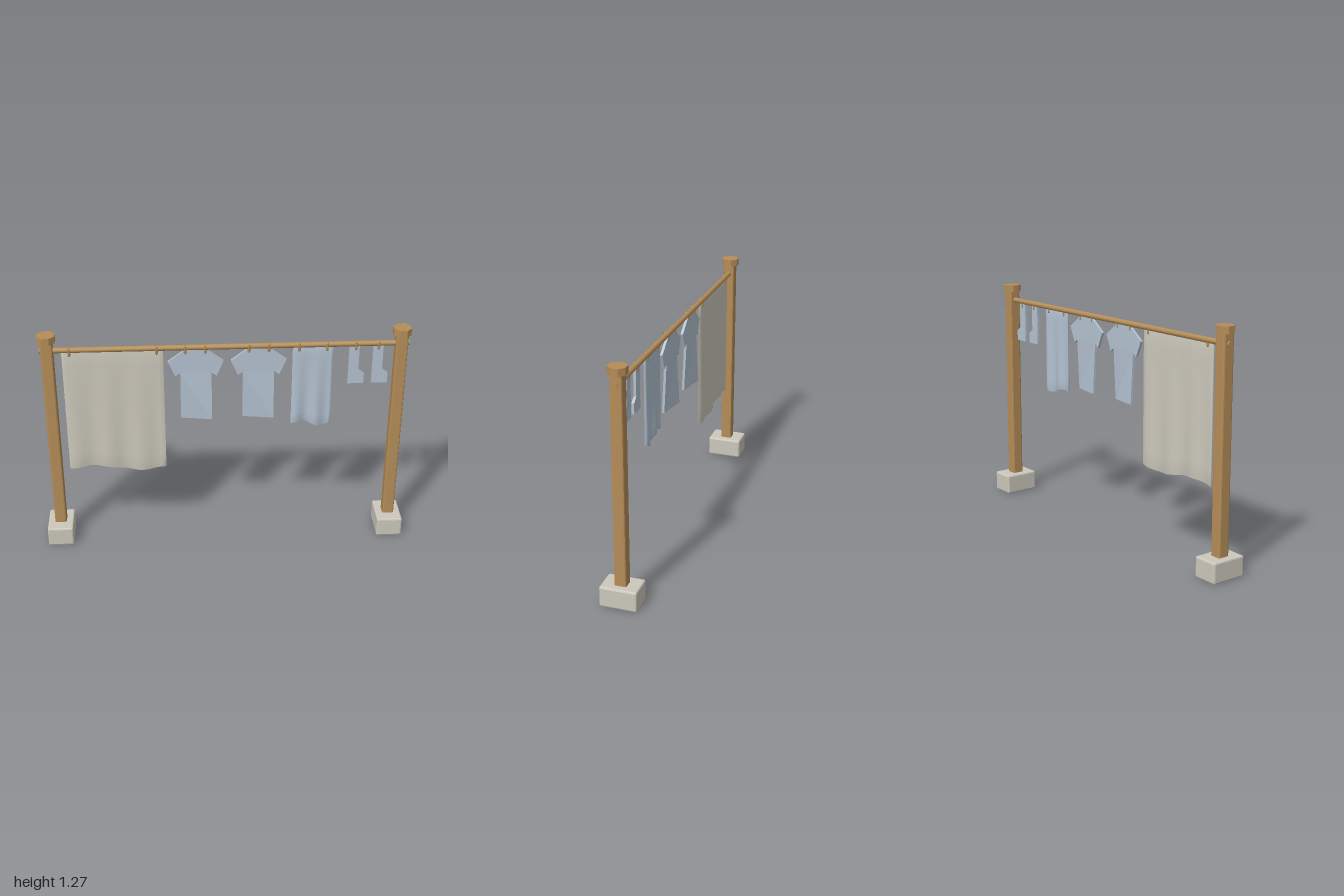
import * as THREE from 'three';
import { mergeVertices } from 'three/addons/utils/BufferGeometryUtils.js';
import { RoundedBoxGeometry } from 'three/addons/geometries/RoundedBoxGeometry.js';

const LINE_Y = 1.18;

// Flat-faced copy of a geometry
function faceted(geometry) {
  const g = geometry.index ? geometry.toNonIndexed() : geometry;
  g.computeVertexNormals();
  return g;
}

// Box with flat chamfered edges
const chamferBox = (w, h, d, c) => faceted(new RoundedBoxGeometry(w, h, d, 1, c));

// Thin rippled cloth with soft closed edges and a wavy hem
function sheetGeometry(width, height, folds) {
  const box = new THREE.BoxGeometry(width, height, 0.01, 20, 8, 1);
  box.deleteAttribute('normal');
  box.deleteAttribute('uv');
  const g = mergeVertices(box);
  const p = g.attributes.position;
  for (let i = 0; i < p.count; i++) {
    const u = p.getX(i) / width + 0.5;
    const drop = 0.5 - p.getY(i) / height;
    p.setZ(i, p.getZ(i) + Math.sin(u * folds * Math.PI * 2) * 0.008 * drop);
    p.setY(i, p.getY(i) - height / 2 + Math.sin(u * Math.PI * 2) * 0.016 * drop);
  }
  g.computeVertexNormals();
  return g;
}

// Flat garment cut from an outline, with a slight twist towards the hem
function garmentGeometry(points, depth, twist) {
  const shape = new THREE.Shape(points.map(([x, y]) => new THREE.Vector2(x, y)));
  const g = new THREE.ExtrudeGeometry(shape, { depth, bevelEnabled: false });
  g.translate(0, 0, -depth / 2);
  const p = g.attributes.position;
  for (let i = 0; i < p.count; i++) {
    const drop = Math.max(0, -p.getY(i) - 0.15);
    p.setZ(i, p.getZ(i) + p.getX(i) * drop * twist);
  }
  return faceted(g);
}

export function createModel() {
  const wood = new THREE.MeshStandardMaterial({ color: 0xb58d58 });
  wood.name = 'wood';
  const stone = new THREE.MeshStandardMaterial({ color: 0xccc8bc });
  stone.name = 'stone and linen';
  const blue = new THREE.MeshStandardMaterial({ color: 0xb4c2d1 });
  blue.name = 'pale blue cloth';

  const model = new THREE.Group();
  model.name = 'clothesline';
  const add = (name, geometry, material, x, y, z = 0, parent = model) => {
    const mesh = new THREE.Mesh(geometry, material);
    mesh.name = name;
    mesh.position.set(x, y, z);
    parent.add(mesh);
    return mesh;
  };

  // Posts with footings and octagonal caps
  const footing = chamferBox(0.142, 0.112, 0.198, 0.009);
  const post = chamferBox(0.064, 1.14, 0.064, 0.008);
  const cap = faceted(new THREE.CylinderGeometry(0.05, 0.05, 0.038, 8));
  cap.rotateY(Math.PI / 8);
  for (const [side, x] of [['right', -0.929], ['left', 0.929]]) {
    const support = new THREE.Group();
    support.name = side + 'Support';
    model.add(support);
    add('footing', footing, stone, x, 0.056, 0, support);
    add('post', post, wood, x, 0.67, 0, support);
    add('cap', cap, wood, x, 1.25, 0, support);
  }

  // Horizontal rail
  const rail = new THREE.CylinderGeometry(0.015, 0.015, 1.94, 12);
  rail.rotateZ(Math.PI / 2);
  add('rail', rail, wood, 0, LINE_Y, 0);

  // Hanging sheet and towel
  add('sheet', sheetGeometry(0.53, 0.73, 3), stone, -0.59, LINE_Y);
  add('towel', sheetGeometry(0.214, 0.475, 2), blue, 0.463, LINE_Y);

  // Shirts: half outline mirrored
  const half = [[0.035, -0.012], [0.06, -0.016], [0.147, -0.08], [0.11, -0.168],
    [0.083, -0.148], [0.083, -0.427]];
  const outline = [...half, ...half.map(([x, y]) => [-x, y]).reverse()].reverse();
  const shirt = garmentGeometry(outline, 0.014, 0.6);
  for (const x of [-0.155, 0.177]) add('shirt', shirt, blue, x, LINE_Y);

  // Socks with toes pointing to the model's left
  const sock = garmentGeometry([[0, 0], [0, -0.234], [0.085, -0.234], [0.085, -0.177],
    [0.054, -0.154], [0.054, 0]], 0.014, 0);
  for (const x of [0.655, 0.782]) add('sock', sock, blue, x, LINE_Y);

  // Pegs along the rail
  const peg = new THREE.CapsuleGeometry(0.008, 0.036, 3, 8);
  peg.scale(1, 1, 1.9);
  for (const x of [-0.815, -0.36, -0.21, -0.105, 0.125, 0.23, 0.39, 0.537, 0.69, 0.81]) {
    add('peg', peg, wood, x, 1.17, 0.003);
  }
  return model;
}
